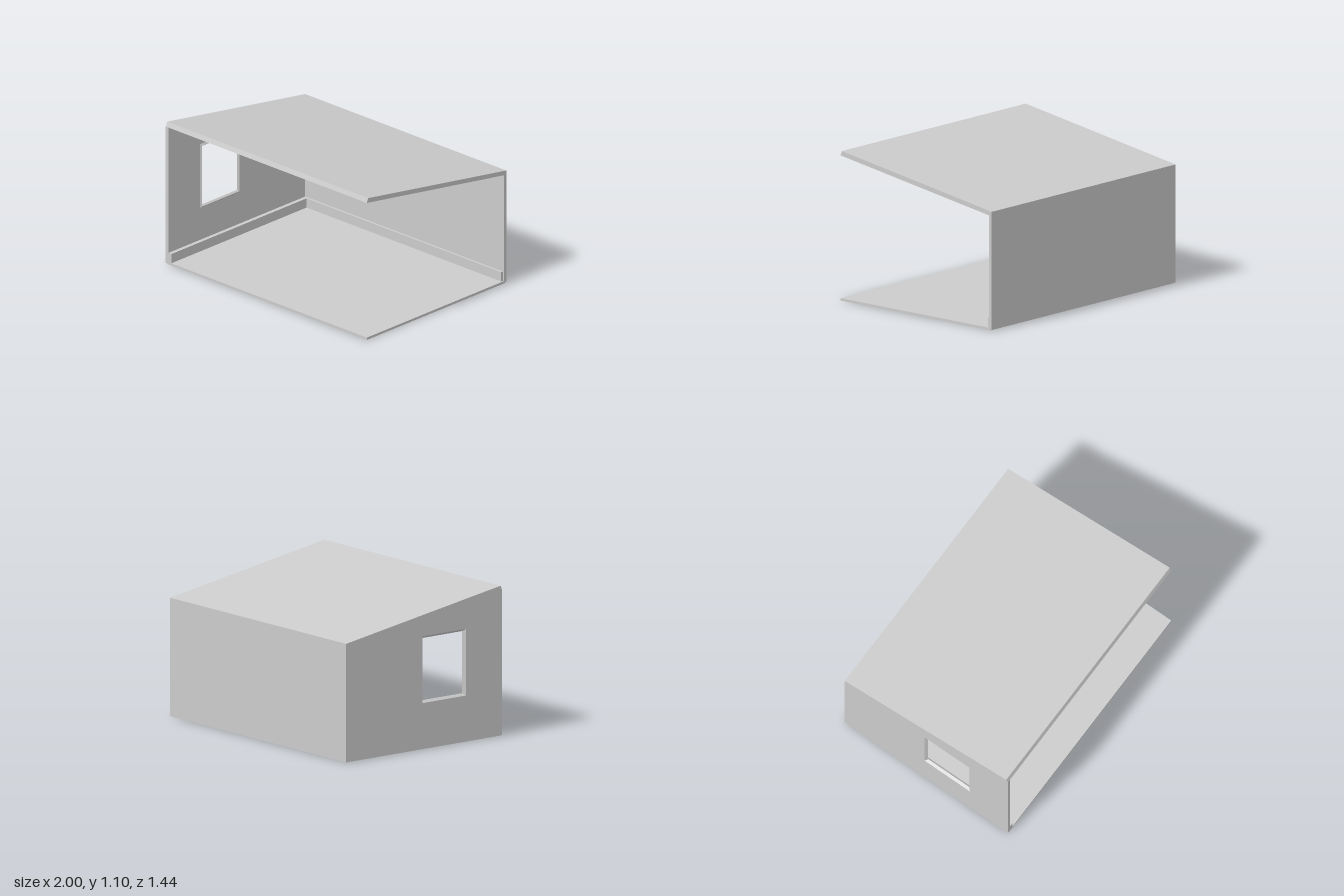
import * as THREE from 'three';

const material = new THREE.MeshStandardMaterial({ color: 0xcccccc, flatShading: true, side: THREE.DoubleSide });

// Extrude a (z, y) outline along x from x0 to x1
function extrudeX(name, points, x0, x1, hole) {
  const shape = new THREE.Shape(points.map(([z, y]) => new THREE.Vector2(z, y)));
  if (hole) shape.holes.push(new THREE.Path(hole.map(([z, y]) => new THREE.Vector2(z, y))));
  const geometry = new THREE.ExtrudeGeometry(shape, { depth: x1 - x0, bevelEnabled: false });
  geometry.rotateY(-Math.PI / 2).translate(x1, 0, 0);
  const mesh = new THREE.Mesh(geometry, material);
  mesh.name = name;
  return mesh;
}

function box(name, x0, x1, y0, y1, z0, z1) {
  const mesh = new THREE.Mesh(new THREE.BoxGeometry(x1 - x0, y1 - y0, z1 - z0), material);
  mesh.position.set((x0 + x1) / 2, (y0 + y1) / 2, (z0 + z1) / 2);
  mesh.name = name;
  return mesh;
}

// Window rectangle as (z, y) corners, shrunk by an inset
const windowRect = (inset) => {
  const z0 = -0.019 + inset, z1 = 0.391 - inset, y0 = 0.337 + inset, y1 = 0.837 - inset;
  return [[z0, y0], [z1, y0], [z1, y1], [z0, y1]];
};

// Mitred frame swept around the window from [inset, x] profile steps
function windowFrame(profile) {
  const positions = [];
  const corner = ([inset, x], i) => {
    const [z, y] = windowRect(inset)[i % 4];
    return [x, y, z];
  };
  for (let s = 0; s < profile.length - 1; s++) {
    for (let i = 0; i < 4; i++) {
      const a = corner(profile[s], i), b = corner(profile[s], i + 1);
      const c = corner(profile[s + 1], i + 1), d = corner(profile[s + 1], i);
      positions.push(...a, ...c, ...b, ...a, ...d, ...c);
    }
  }
  const geometry = new THREE.BufferGeometry();
  geometry.setAttribute('position', new THREE.Float32BufferAttribute(positions, 3));
  geometry.computeVertexNormals();
  const mesh = new THREE.Mesh(geometry, material);
  mesh.name = 'windowFrame';
  return mesh;
}

export function createModel() {
  const group = new THREE.Group();
  group.name = 'openRoom';

  // Floor slab
  group.add(box('floor', -0.985, 1, 0, 0.018, -0.71, 0.722));

  // Side wall with window opening
  const sideOutline = [[-0.697, 0.006], [0.722, 0.006], [0.722, 1.07], [-0.697, 0.845]];
  group.add(extrudeX('sideWall', sideOutline, -1, -0.975, windowRect(0.005)));
  group.add(windowFrame([[0, -0.975], [0.011, -0.967], [0.022, -0.98], [0.005, -1]]));

  // Back wall, cut along the roof slope
  const backOutline = [[-0.722, 0.006], [-0.697, 0.006], [-0.697, 0.845], [-0.722, 0.841]];
  group.add(extrudeX('backWall', backOutline, -1, 1));

  // Sloping roof with a square-cut front edge
  const roofOutline = [[0.722, 1.07], [0.708, 1.104], [-0.722, 0.875], [-0.722, 0.841]];
  group.add(extrudeX('roof', roofOutline, -1, 1));

  // Skirting boards
  group.add(box('sideSkirting', -0.975, -0.945, 0.018, 0.09, -0.697, 0.722));
  group.add(box('backSkirting', -0.945, 0.99, 0.018, 0.09, -0.697, -0.68));

  return group;
}
